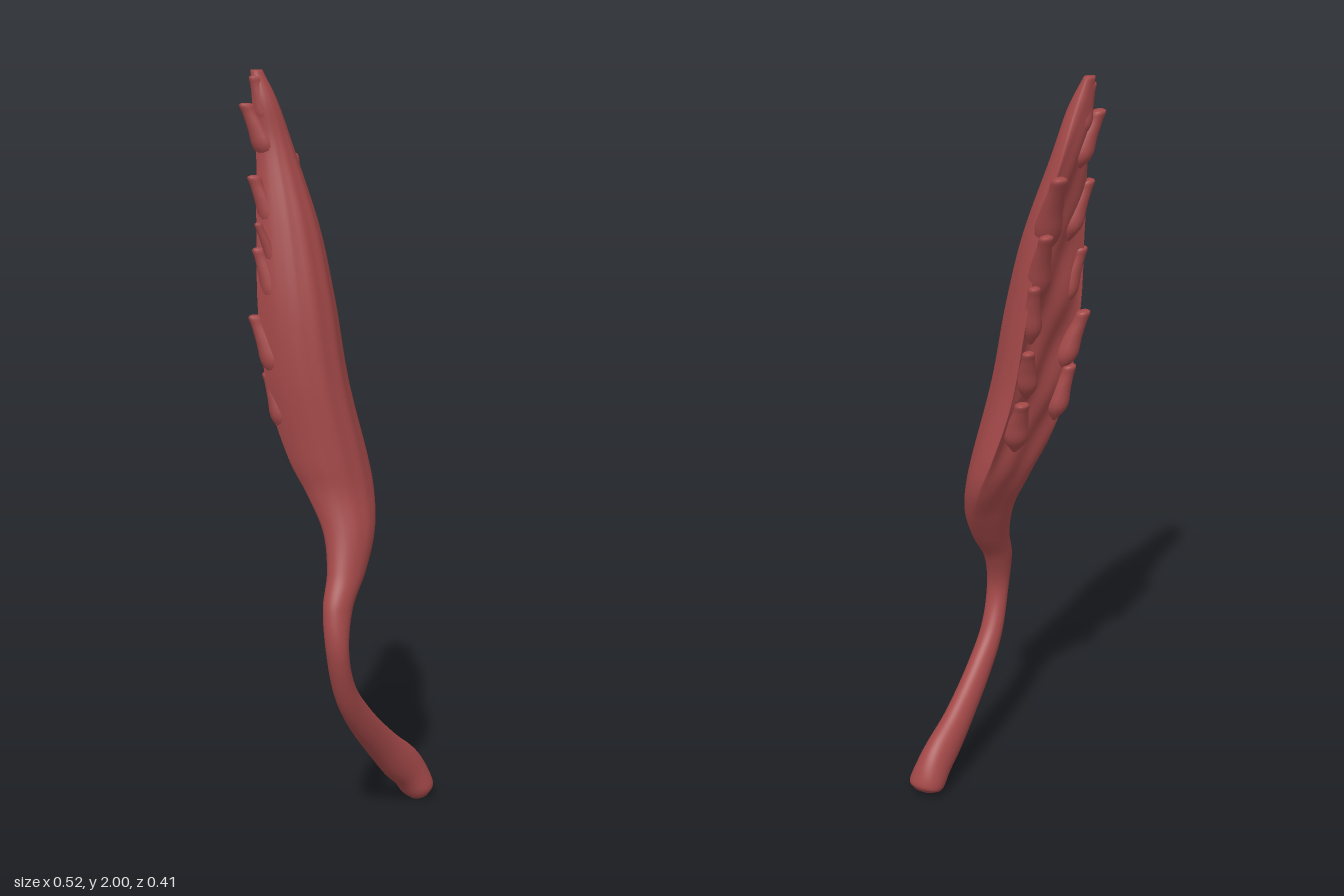
import * as THREE from 'three';

const { smoothstep } = THREE.MathUtils;
const material = new THREE.MeshStandardMaterial({ color: 0xa34848, roughness: 0.8 });
const U = new THREE.Vector3(1, 0, -1).normalize(); // across the sheet
const V = new THREE.Vector3(1, 0, 1).normalize();  // towards its convex face

// Belly rules by height: how far the ellipse hollows into a crescent,
// and how far the ring leans to stay square to the slanting tendon.
const bellyHollow = (y) => 0.72 * smoothstep(y, 0.65, 1.15) * (1 - 0.7 * smoothstep(y, 1.6, 2));
const tendonTilt = (y) => (1 - smoothstep(y, 0.3, 0.55)) * (0.4 + 0.6 * smoothstep(y, 0.03, 0.14));
const none = () => 0;

// Smooth loft through stations [x, y, z, halfU, halfV]
function loft(name, stations, rows, sides, hollow = none, tilt = none) {
  const path = new THREE.CatmullRomCurve3(stations.map(([x, y, z]) => new THREE.Vector3(x, y, z)), false, 'catmullrom');
  const size = new THREE.CatmullRomCurve3(stations.map((s) => new THREE.Vector3(s[3], s[4], 0)), false, 'catmullrom');
  const pos = [], index = [], p = new THREE.Vector3();
  for (let j = 0; j <= rows; j++) {
    const c = path.getPoint(j / rows), s = size.getPoint(j / rows);
    const k = hollow(c.y), lean = tilt(c.y);
    for (let i = 0; i < sides; i++) {
      const t = (i / sides) * Math.PI * 2, sn = Math.sin(t);
      const u = s.x * Math.cos(t);
      // fibre grooves outside, fleshy lumps inside the hollow
      const v = sn > 0
        ? -k + (1 + k) * sn + 0.04 * k * sn * Math.sin(t * 13 + c.y * 2)
        : -k + (1 - 1.7 * k) * sn + 0.16 * k * sn * Math.sin(c.y * 24 + 2 * Math.cos(t)) * Math.cos(t * 3);
      p.copy(c).addScaledVector(U, u).addScaledVector(V, v * s.y);
      pos.push(p.x, p.y + lean * u, p.z);
    }
  }
  for (let j = 0; j < rows; j++) {
    for (let i = 0; i < sides; i++) {
      const a = j * sides + i, b = j * sides + (i + 1) % sides;
      index.push(a, a + sides, b, b, a + sides, b + sides);
    }
  }
  // closed ends
  const low = pos.length / 3, top = low - sides;
  pos.push(...path.getPoint(0).toArray(), ...path.getPoint(1).toArray());
  for (let i = 0; i < sides; i++) {
    const n = (i + 1) % sides;
    index.push(low, i, n, low + 1, top + n, top + i);
  }
  const g = new THREE.BufferGeometry();
  g.setAttribute('position', new THREE.Float32BufferAttribute(pos, 3));
  g.setIndex(index);
  g.computeVertexNormals();
  const mesh = new THREE.Mesh(g, material);
  mesh.name = name;
  return mesh;
}

// Tapered slip with a blunt, slightly flared tip
function slip(name, base, tip, r) {
  const from = new THREE.Vector3(...base), to = new THREE.Vector3(...tip);
  const station = (rise, out, ru, rv) => {
    const c = from.clone().lerp(to, out);
    return [c.x, from.y + (to.y - from.y) * rise, c.z, r * ru, r * rv];
  };
  return loft(name, [
    station(0, 0, 0.2, 0.2), station(0.25, 0.15, 1, 1.1), station(0.55, 0.45, 0.9, 0.9),
    station(0.82, 0.8, 0.7, 0.65), station(0.96, 0.97, 0.7, 0.6), station(1, 1, 0.35, 0.25),
  ], 18, 12);
}

export function createModel() {
  const model = new THREE.Group();
  model.name = 'muscle';

  // Tendon tail rising into the broad hollow belly and narrowing to the tip
  model.add(loft('bellyAndTendon', [
    [0.224, 0.012, -0.108, 0.026, 0.03],
    [0.216, 0.035, -0.112, 0.042, 0.05],
    [0.188, 0.09, -0.088, 0.043, 0.044],
    [0.125, 0.175, -0.015, 0.034, 0.036],
    [0.06, 0.28, 0.075, 0.028, 0.033],
    [0.016, 0.38, 0.138, 0.025, 0.032],
    [-0.004, 0.5, 0.174, 0.029, 0.032],
    [-0.003, 0.61, 0.15, 0.043, 0.036],
    [0.02, 0.7, 0.1, 0.058, 0.045],
    [0.028, 0.8, 0.052, 0.079, 0.06],
    [0.01, 0.9, 0.014, 0.106, 0.072],
    [-0.018, 1.0, 0.004, 0.121, 0.081],
    [-0.066, 1.2, 0.004, 0.119, 0.083],
    [-0.094, 1.4, -0.006, 0.111, 0.079],
    [-0.12, 1.6, -0.026, 0.09, 0.062],
    [-0.163, 1.8, -0.05, 0.055, 0.042],
    [-0.192, 1.92, -0.045, 0.036, 0.031],
    [-0.214, 2, -0.045, 0.017, 0.013],
  ], 170, 64, bellyHollow, tendonTilt));

  // Slips along the back edge: base, tip, radius
  const backSlips = [
    [[-0.105, 1.56, -0.08], [-0.13, 1.785, -0.185], 0.032],
    [[-0.085, 1.43, -0.08], [-0.1, 1.635, -0.17], 0.029],
    [[-0.07, 1.32, -0.08], [-0.075, 1.49, -0.132], 0.025],
    [[-0.06, 1.17, -0.08], [-0.06, 1.32, -0.14], 0.026],
    [[-0.03, 1.02, -0.075], [-0.045, 1.18, -0.138], 0.03],
  ];
  // Slips along the right edge
  const rightSlips = [
    [[-0.19, 1.84, -0.04], [-0.218, 1.985, -0.035], 0.026],
    [[-0.185, 1.76, -0.035], [-0.242, 1.915, -0.03], 0.03],
    [[-0.17, 1.57, -0.005], [-0.222, 1.73, 0], 0.028],
    [[-0.165, 1.47, 0.025], [-0.21, 1.61, 0.042], 0.016],
    [[-0.165, 1.38, 0.03], [-0.21, 1.545, 0.025], 0.027],
    [[-0.165, 1.2, 0.04], [-0.22, 1.37, 0.03], 0.029],
    [[-0.145, 1.06, 0.04], [-0.185, 1.22, 0.03], 0.028],
  ];
  backSlips.forEach((s) => model.add(slip('backSlip', ...s)));
  rightSlips.forEach((s) => model.add(slip('rightSlip', ...s)));
  return model;
}
